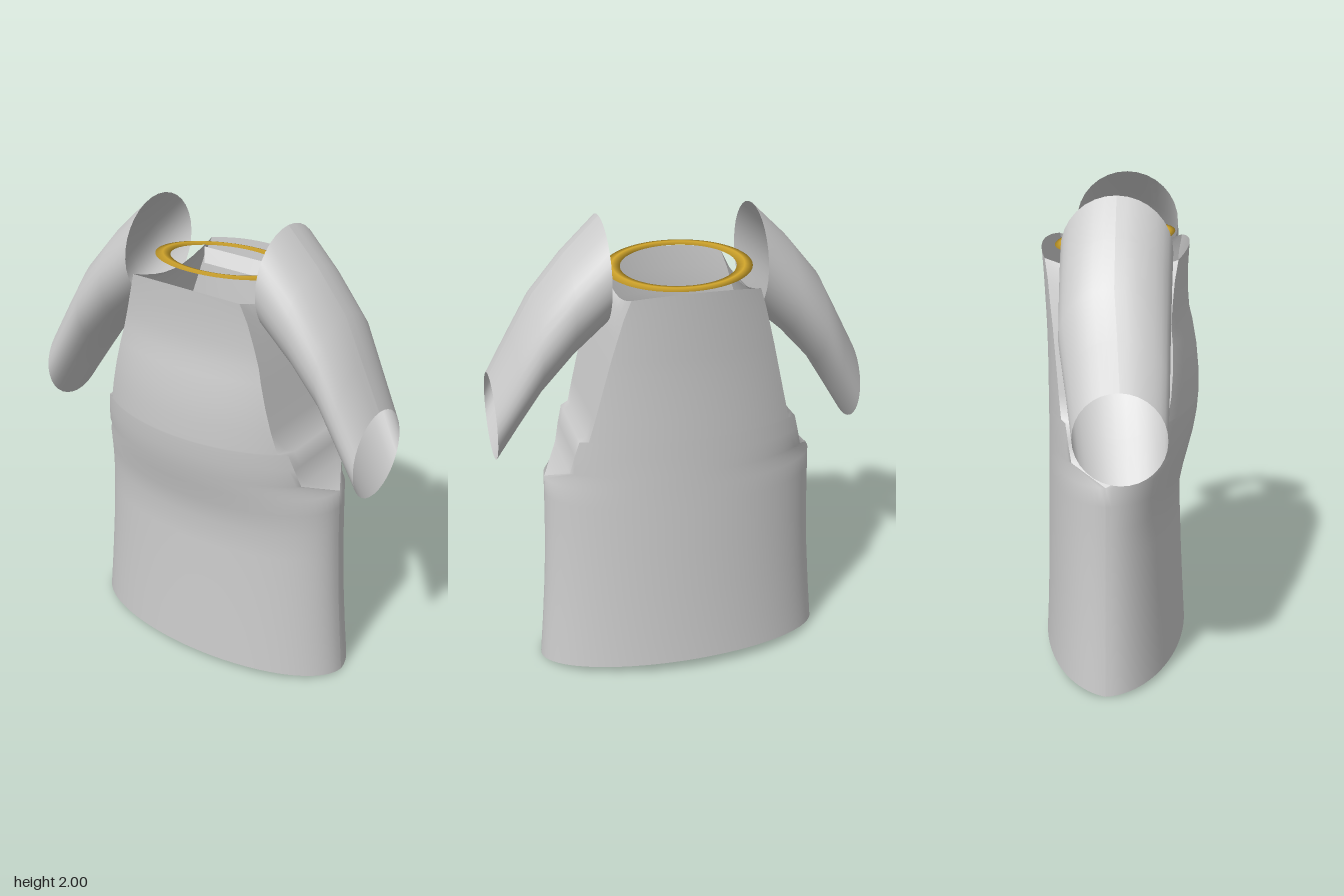
import * as THREE from 'three';

const cloth = new THREE.MeshStandardMaterial({ color: 0xcccccc, side: THREE.DoubleSide });
const gold = new THREE.MeshStandardMaterial({ color: 0xd2a62c, side: THREE.DoubleSide });
const SEAM_Z = -0.02;

// Body heights: [y, half width, ellipse radius, front z, back z]
const rows = [
  [0.00, 0.640, 0.640, 0.285, -0.325],
  [0.20, 0.622, 0.622, 0.275, -0.318],
  [0.40, 0.606, 0.606, 0.265, -0.312],
  [0.60, 0.596, 0.596, 0.257, -0.308],
  [0.72, 0.592, 0.592, 0.255, -0.306],
  [0.82, 0.590, 0.590, 0.275, -0.304],
  [0.90, 0.588, 0.588, 0.295, -0.303],
  [0.97, 0.505, 0.585, 0.312, -0.302],
  [1.05, 0.485, 0.583, 0.325, -0.302],
  [1.12, 0.465, 0.580, 0.330, -0.302],
  [1.125, 0.430, 0.580, 0.330, -0.302],
  [1.22, 0.405, 0.575, 0.328, -0.302],
  [1.32, 0.380, 0.570, 0.318, -0.302],
  [1.42, 0.355, 0.565, 0.300, -0.304],
  [1.48, 0.340, 0.560, 0.285, -0.306],
  [1.56, 0.318, 0.555, 0.278, -0.310],
  [1.66, 0.290, 0.545, 0.277, -0.315],
  [1.76, 0.262, 0.540, 0.282, -0.322],
];

// Surface through a grid of points given by point(row, column)
function gridMesh(name, nRows, nCols, point, material = cloth) {
  const pos = [], idx = [];
  for (let r = 0; r < nRows; r++) {
    for (let c = 0; c <= nCols; c++) {
      pos.push(...point(r, c / nCols));
      if (r < nRows - 1 && c < nCols) {
        const a = r * (nCols + 1) + c, b = a + nCols + 1;
        idx.push(a, a + 1, b, a + 1, b + 1, b);
      }
    }
  }
  const geo = new THREE.BufferGeometry();
  geo.setAttribute('position', new THREE.Float32BufferAttribute(pos, 3));
  geo.setIndex(idx);
  geo.computeVertexNormals();
  const mesh = new THREE.Mesh(geo, material);
  mesh.name = name;
  return mesh;
}

// Point on the front (side = 1) or back (side = -1) panel, t from -1 to 1
function panelPoint(r, t, side) {
  const [y, w, a, zf, zb] = rows[r];
  const angle = t * Math.asin(Math.min(1, w / a));
  const depth = (side > 0 ? zf : zb) - SEAM_Z;
  let py = y;
  if (r === 0) py = (side > 0 ? 0.03 : 0.055) * Math.cos(angle);
  if (r === rows.length - 1) py -= 0.02 * t * t;
  return [a * Math.sin(angle), py, SEAM_Z + depth * Math.cos(angle)];
}

export function createModel() {
  const model = new THREE.Group();

  // Front and back of the body
  for (const side of [1, -1]) {
    model.add(gridMesh(side > 0 ? 'frontPanel' : 'backPanel', rows.length, 40,
      (r, u) => panelPoint(r, side * (2 * u - 1), side)));
  }

  // Inner shoulder walls behind the sleeves, dipping at the top
  const first = 6;
  for (const s of [1, -1]) {
    model.add(gridMesh(s > 0 ? 'leftShoulderWall' : 'rightShoulderWall', rows.length - first, 8, (r, u) => {
      const k = s > 0 ? u : 1 - u;
      const f = panelPoint(r + first, s, 1), b = panelPoint(r + first, s, -1);
      const dip = r + first === rows.length - 1 ? 0.06 * Math.sin(Math.PI * u) : 0;
      return [f[0], f[1] - dip, f[2] + (b[2] - f[2]) * k];
    }));
  }

  // Open sleeves: [x, centre y, centre z, radius y, radius z]
  const sleeve = [
    [0.318, 1.782, 0.005, 0.217, 0.220],
    [0.460, 1.650, 0.010, 0.211, 0.216],
    [0.595, 1.495, 0.016, 0.205, 0.212],
    [0.690, 1.335, 0.034, 0.194, 0.196],
    [0.785, 1.172, 0.050, 0.183, 0.180],
  ];
  for (const s of [1, -1]) {
    model.add(gridMesh(s > 0 ? 'leftSleeve' : 'rightSleeve', sleeve.length, 32, (r, u) => {
      const [x, cy, cz, ry, rz] = sleeve[r];
      const a = -s * u * Math.PI * 2;
      return [s * x, cy + ry * Math.cos(a), cz + rz * Math.sin(a)];
    }));
  }

  // Strip inside the back of the neck
  model.add(gridMesh('neckStrip', 2, 4, (r, u) =>
    [(2 * u - 1) * (r ? 0.26 : 0.23), r ? 1.715 : 1.66, r ? -0.23 : -0.19]));

  // Flat gold collar ring, higher at the front
  const ring = new THREE.TorusGeometry(0.272, 0.033, 4, 48);
  ring.scale(1, 0.816, 0.2);
  ring.rotateX(-Math.PI / 2);
  const collar = new THREE.Mesh(ring, gold);
  collar.name = 'collar';
  collar.position.set(0, 1.777, -0.025);
  collar.rotation.x = -0.11;
  model.add(collar);

  return model;
}
